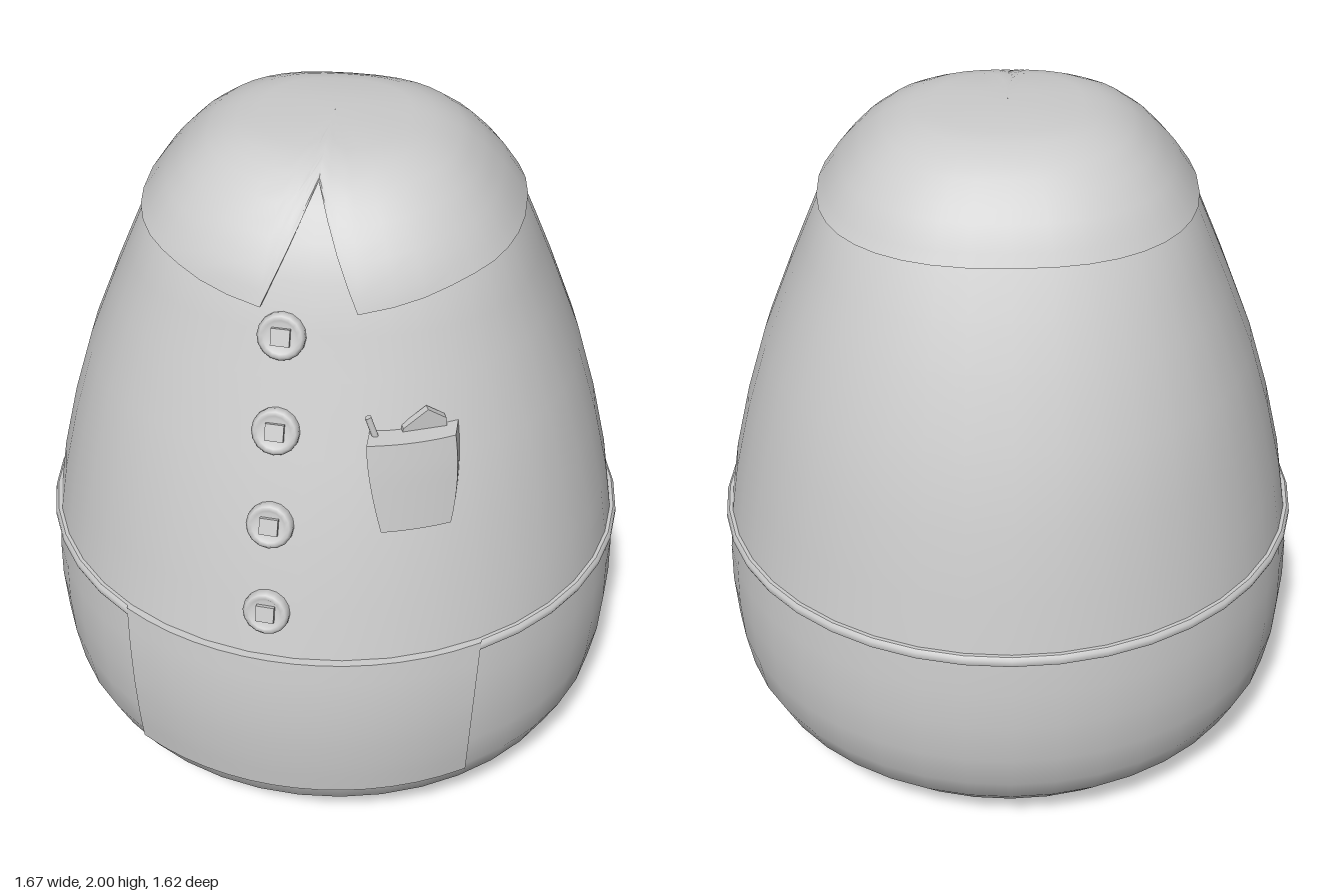
import * as THREE from 'three';
import { toCreasedNormals } from 'three/addons/utils/BufferGeometryUtils.js';

const { lerp, clamp } = THREE.MathUtils;
const material = new THREE.MeshStandardMaterial({ color: 0xcccccc, side: THREE.DoubleSide });

// Body profile rows: height, half width, front depth, back depth
const PROFILE = [
  [0, 0.001, 0.001, 0.001], [0.005, 0.25, 0.25, 0.25], [0.015, 0.42, 0.41, 0.41], [0.04, 0.55, 0.54, 0.54],
  [0.09, 0.67, 0.655, 0.65], [0.17, 0.76, 0.73, 0.725], [0.26, 0.805, 0.77, 0.77], [0.37, 0.825, 0.783, 0.795],
  [0.5, 0.834, 0.79, 0.805], [0.62, 0.832, 0.787, 0.803], [0.74, 0.82, 0.775, 0.793], [0.9, 0.795, 0.735, 0.765],
  [1.1, 0.748, 0.68, 0.725], [1.3, 0.688, 0.61, 0.665], [1.5, 0.61, 0.535, 0.585], [1.62, 0.56, 0.493, 0.53],
  [1.75, 0.505, 0.448, 0.465], [1.83, 0.45, 0.4, 0.42], [1.9, 0.385, 0.34, 0.355], [1.95, 0.32, 0.28, 0.295],
  [1.98, 0.25, 0.22, 0.23], [1.995, 0.17, 0.15, 0.16], [2, 0.001, 0.001, 0.001],
];
const HEIGHTS = PROFILE.map((row) => row[0]);

// Cross-section at a height: half width, front, back and squareness
function section(y) {
  let i = 1;
  while (i < PROFILE.length - 1 && PROFILE[i][0] < y) i++;
  const p = PROFILE[i - 1], q = PROFILE[i];
  const t = clamp((y - p[0]) / (q[0] - p[0]), 0, 1);
  return [1, 2, 3].map((k) => lerp(p[k], q[k], t)).concat(2 + 0.5 * clamp(y - 1, 0, 1));
}

// Point on the body at an angle from the front, pushed out by an offset
function bodyPoint(angle, y, offset = 0) {
  const [w, f, b, n] = section(y);
  const off = offset * Math.min(1, w / 0.1);
  const s = Math.sin(angle), c = Math.cos(angle);
  const power = (v) => Math.sign(v) * Math.abs(v) ** (2 / n);
  return [(w + off) * power(s), y, ((c > 0 ? f : b) + off) * power(c)];
}

// Depth of the front surface at x, y
function frontZ(x, y) {
  const [w, f, , n] = section(y);
  return f * Math.max(0, 1 - Math.abs(x / w) ** n) ** (1 / n);
}

function named(name, geometry) {
  const mesh = new THREE.Mesh(geometry, material);
  mesh.name = name;
  return mesh;
}

// Closed rings joined from bottom to top; pointAt(row, angle) gives each corner
function loft(name, rows, angles, pointAt) {
  const pos = [], index = [], n = angles.length;
  for (let r = 0; r < rows; r++) {
    for (const a of angles) pos.push(...pointAt(r, a));
    if (r === rows - 1) break;
    for (let j = 0; j < n; j++) {
      const k = (j + 1) % n, lo = r * n, hi = lo + n;
      index.push(lo + j, lo + k, hi + k, lo + j, hi + k, hi + j);
    }
  }
  const g = new THREE.BufferGeometry();
  g.setAttribute('position', new THREE.Float32BufferAttribute(pos, 3));
  g.setIndex(index);
  return named(name, toCreasedNormals(g, 0.75));
}

// Slab that follows the front of the body, between left and right edges
function frontSlab(name, xLeft, xRight, y0, y1, thickness) {
  const g = new THREE.BoxGeometry(1, 1, 1, 14, 8, 1);
  const p = g.attributes.position;
  for (let i = 0; i < p.count; i++) {
    const v = p.getY(i) + 0.5;
    const x = lerp(xLeft(v), xRight(v), p.getX(i) + 0.5), y = lerp(y0, y1, v);
    p.setXYZ(i, x, y, frontZ(x, y) + (p.getZ(i) > 0 ? thickness(v) : -0.02));
  }
  g.computeVertexNormals();
  return named(name, g);
}

// Round button with a raised rim and a small square centre
function button(x, y) {
  const group = new THREE.Group();
  group.name = 'button';
  const profile = [[0, 0.012], [0.036, 0.012], [0.045, 0.021], [0.056, 0.02], [0.064, 0.01], [0.064, -0.02]];
  const disc = new THREE.LatheGeometry(profile.map(([r, h]) => new THREE.Vector2(r, h)).reverse(), 16);
  disc.rotateX(Math.PI / 2);
  const stitch = named('buttonStitch', new THREE.BoxGeometry(0.05, 0.046, 0.014));
  stitch.position.z = 0.017;
  group.add(named('buttonDisc', disc), stitch);
  const e = 0.03, z = frontZ(x, y);
  const normal = new THREE.Vector3(
    (frontZ(x - e, y) - frontZ(x + e, y)) / (2 * e), (frontZ(x, y - e) - frontZ(x, y + e)) / (2 * e), 1);
  group.position.set(x, y, z);
  group.lookAt(normal.add(group.position));
  return group;
}

// Height of the collar's lower edge: a V at the front with two points
function collarEdge(angle) {
  const a = Math.abs(angle), tip = 0.18;
  if (a < tip) return lerp(1.95, 1.68, a / tip);
  if (a < 0.75) return lerp(1.68, 1.735, (a - tip) / (0.75 - tip));
  return lerp(1.735, 1.75, Math.min(1, (a - 0.75) / 0.5));
}

export function createModel() {
  const model = new THREE.Group();
  model.name = 'roundedFigureBody';
  const ring = Array.from({ length: 40 }, (_, i) => (i / 40) * Math.PI * 2);

  // Trousers and shirt
  const low = HEIGHTS.filter((y) => y <= 0.74);
  const high = [...HEIGHTS.filter((y) => y >= 0.74 && y < 1.97), 1.965];
  model.add(loft('trousers', low.length, ring, (r, a) => bodyPoint(a, low[r])));
  model.add(loft('shirt', high.length, ring, (r, a) => bodyPoint(a, high[r])));

  // Waistband
  const band = [[0.722, -0.01], [0.722, 0.012], [0.73, 0.016], [0.742, 0.016], [0.75, 0.01], [0.75, -0.01]];
  model.add(loft('waistband', band.length, ring, (r, a) => bodyPoint(a, ...band[r])));

  // Collar shell with a thin lower edge
  const half = [0.045, 0.09, 0.135, 0.18];
  for (let i = 1; i <= 18; i++) half.push(lerp(0.18, Math.PI, i / 18));
  const collarAngles = [...half.slice(0, -1).map((a) => -a).reverse(), 0, ...half];
  const rows = 14;
  model.add(loft('collar', rows, collarAngles, (r, a) => {
    const v = Math.max(0, r - 1) / (rows - 2);
    return bodyPoint(a, lerp(collarEdge(a), 2, Math.sin((v * Math.PI) / 2)), r ? 0.013 : -0.005);
  }));

  // Wide front panel on the trousers
  model.add(frontSlab('frontPanel', (v) => lerp(-0.468, -0.492, v), (v) => lerp(0.468, 0.492, v),
    0.265, 0.75, () => 0.022));

  // Button row
  [[-0.067, 1.61], [-0.072, 1.37], [-0.077, 1.125], [-0.08, 0.88]].forEach(([x, y]) => model.add(button(x, y)));

  // Breast pocket, wider and looser at the top
  model.add(frontSlab('breastPocket', (v) => 0.17 + 0.045 * (1 - v) ** 1.5,
    (v) => 0.392 + 0.04 * v * (1 - v), 1.125, 1.382, (v) => lerp(0.015, 0.065, v)));

  // Folded handkerchief
  const cloth = new THREE.Shape([[-0.07, -0.04], [-0.06, 0.01], [0.005, 0.06], [0.055, 0.025], [0.06, -0.04]]
    .map(([x, y]) => new THREE.Vector2(x, y)));
  const hankie = named('handkerchief', new THREE.ExtrudeGeometry(cloth, { depth: 0.02, bevelEnabled: false }));
  hankie.position.set(0.305, 1.382, 0.515);
  hankie.rotation.y = 0.38;
  model.add(hankie);

  // Pen
  const pen = named('pen', new THREE.CylinderGeometry(0.009, 0.009, 0.1, 8));
  pen.position.set(0.183, 1.39, 0.58);
  pen.rotation.z = 0.32;
  model.add(pen);

  return model;
}
